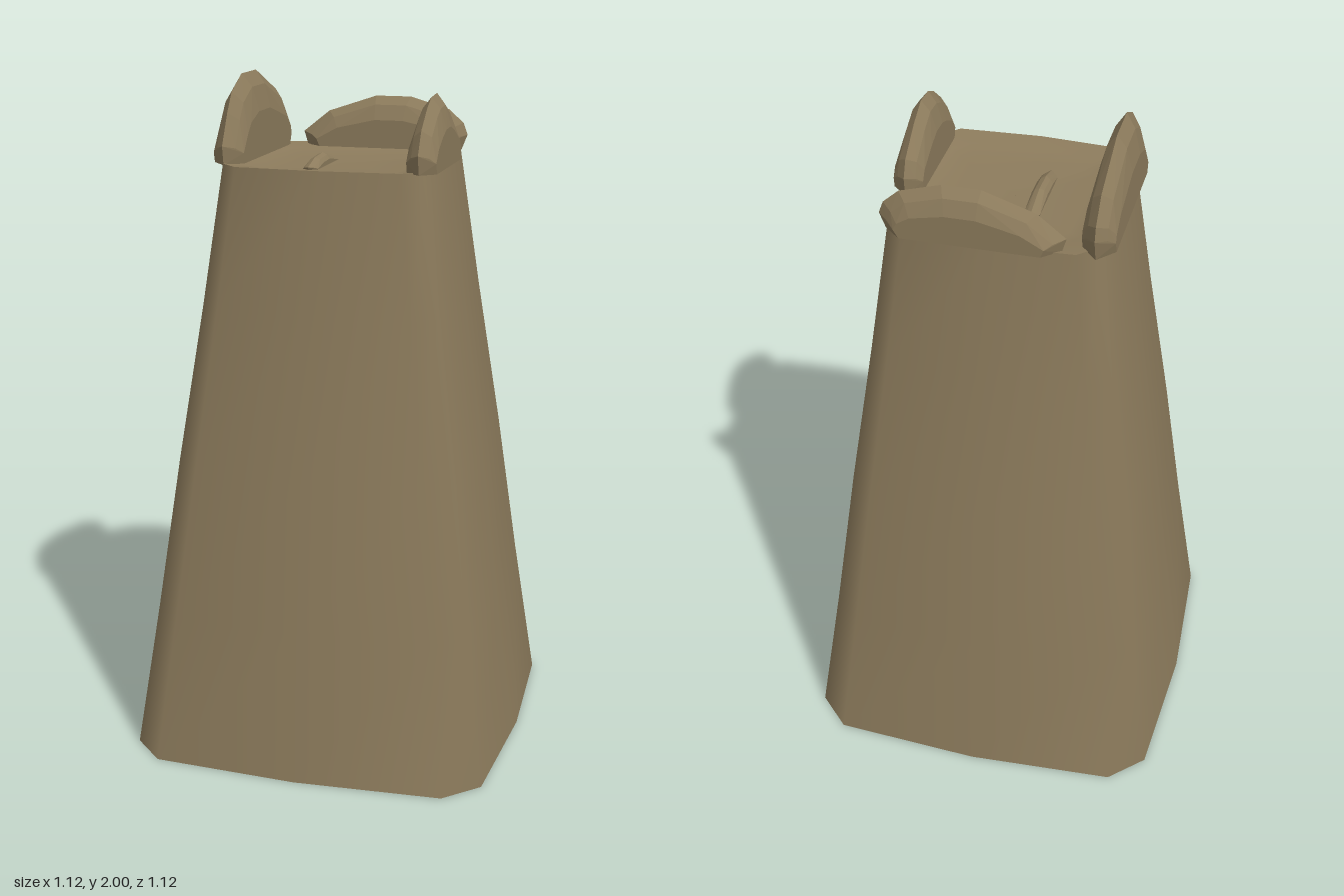
import * as THREE from 'three';
import { ConvexGeometry } from 'three/addons/geometries/ConvexGeometry.js';

// Twelve-sided rounded square of unit half-width, anticlockwise seen from above
const section = [];
for (let k = 0; k < 4; k++) {
  const c = Math.round(Math.cos(k * Math.PI / 2)), s = Math.round(Math.sin(k * Math.PI / 2));
  for (const [x, z] of [[0.955, 0.78], [1, 0], [0.955, -0.78]]) {
    section.push([x * c + z * s, -x * s + z * c]);
  }
}

// Skin a list of [halfX, halfZ, y] levels with the section
function loft(levels) {
  const pos = [], idx = [], n = section.length;
  for (const [hx, hz, y] of levels) for (const [x, z] of section) pos.push(x * hx, y, z * hz);
  for (let l = 0; l < levels.length - 1; l++) {
    for (let i = 0; i < n; i++) {
      const j = (i + 1) % n, a = l * n + i, b = l * n + j;
      idx.push(a, b, b + n, a, b + n, a + n);
    }
  }
  const g = new THREE.BufferGeometry();
  g.setAttribute('position', new THREE.Float32BufferAttribute(pos, 3));
  g.setIndex(idx);
  g.computeVertexNormals();
  return g;
}

// Chipped stone: full outline on the middle plane, smaller outlines on both faces
function stoneGeometry(outline, half) {
  const us = outline.map(p => p[0]), vs = outline.map(p => p[1]);
  const cu = (Math.min(...us) + Math.max(...us)) / 2, v0 = Math.min(...vs);
  const pts = [];
  for (const [u, v] of outline) {
    pts.push(new THREE.Vector3(u, v, 0));
    for (const s of [-1, 1]) {
      pts.push(new THREE.Vector3(cu + (u - cu) * 0.8, v0 + (v - v0) * 0.55, s * half));
      pts.push(new THREE.Vector3(cu + (u - cu) * 0.88, v0 + (v - v0) * 0.84, s * half * 0.6));
    }
  }
  return new ConvexGeometry(pts);
}

export function createModel() {
  const model = new THREE.Group();
  const stone = new THREE.MeshStandardMaterial({ color: 0x8c7b5c });
  stone.name = 'sandstone';
  stone.side = THREE.DoubleSide;
  const add = (name, geometry) => {
    const mesh = new THREE.Mesh(geometry, stone);
    mesh.name = name;
    model.add(mesh);
    return mesh;
  };

  // Tapering hollow shaft, open underneath
  add('shaft', loft([
    [0.56, 0.56, 0], [0.495, 0.5, 0.44], [0.437, 0.425, 0.89], [0.368, 0.36, 1.35], [0.31, 0.31, 1.76],
  ]));

  // Slightly sunken platform
  add('platform', loft([
    [0.31, 0.31, 1.76], [0.245, 0.245, 1.75], [0.2, 0.2, 1.737], [0.001, 0.001, 1.737],
  ]));

  // Upright stones along the sides; outlines are [z, y]
  const alongZ = (name, x, half, outline) => {
    const mesh = add(name, stoneGeometry(outline.map(([z, y]) => [-z, y]), half));
    mesh.rotation.y = Math.PI / 2;
    mesh.position.x = x;
  };
  alongZ('rightStone', -0.295, 0.046, [
    [0.24, 1.755], [0.25, 1.81], [0.2, 1.9], [0.16, 1.955], [0.07, 2], [-0.06, 2],
    [-0.25, 1.925], [-0.31, 1.86], [-0.32, 1.82], [-0.3, 1.755],
  ]);
  alongZ('leftStone', 0.29, 0.043, [
    [0.285, 1.755], [0.297, 1.81], [0.26, 1.875], [0.19, 1.93], [0.14, 1.955], [0.07, 1.96],
    [0, 1.925], [-0.09, 1.86], [-0.112, 1.81], [-0.105, 1.755],
  ]);
  alongZ('platformChip', -0.07, 0.023, [
    [0.14, 1.73], [0.15, 1.745], [0.08, 1.765], [0, 1.77], [-0.115, 1.745], [-0.1, 1.73],
  ]);

  // Rear stone; outline is [x, y]
  add('rearStone', stoneGeometry([
    [-0.2, 1.755], [-0.212, 1.795], [-0.13, 1.86], [0.02, 1.91], [0.13, 1.91],
    [0.25, 1.875], [0.295, 1.835], [0.308, 1.8], [0.29, 1.755],
  ], 0.045)).position.z = -0.28;

  return model;
}
